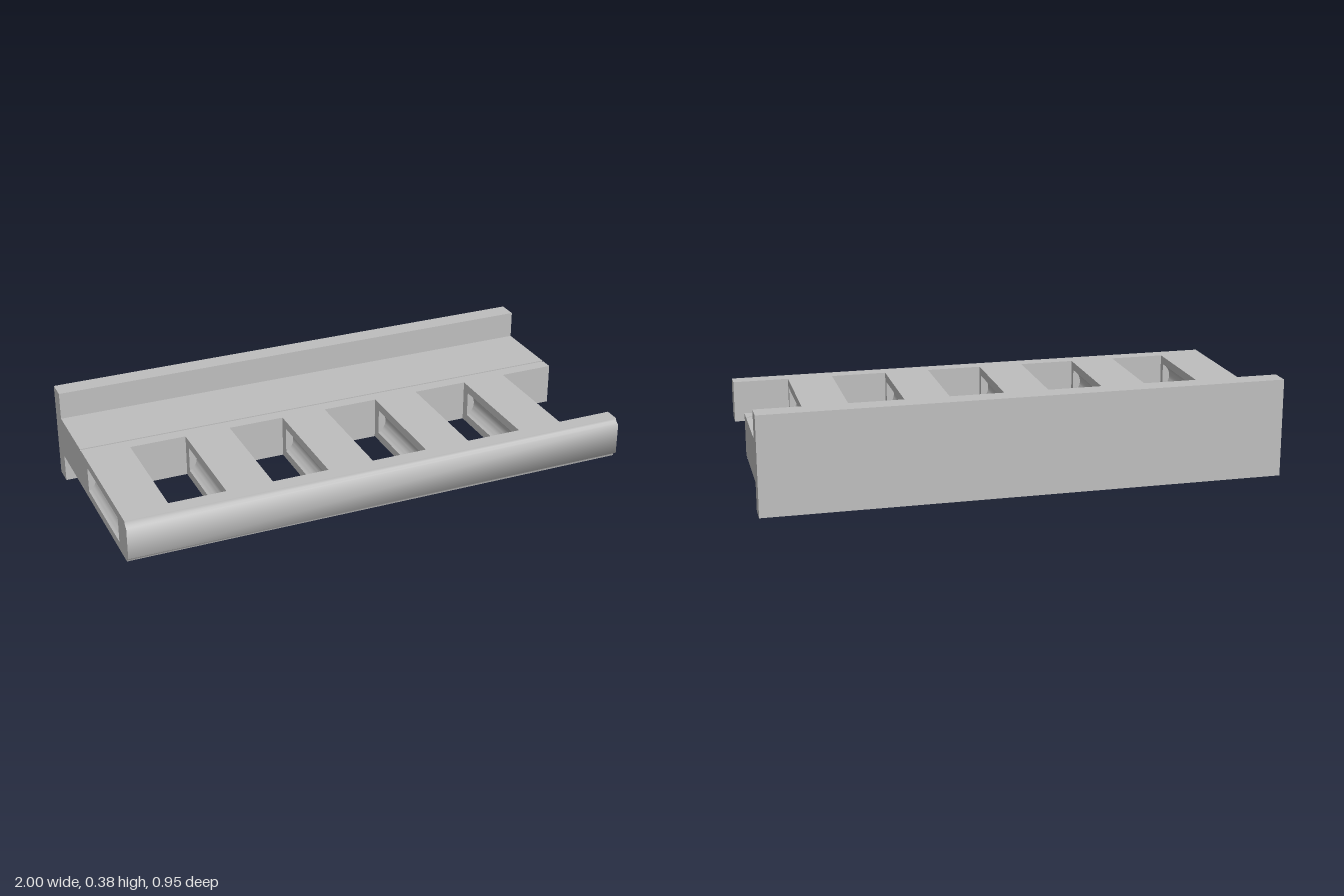
import * as THREE from 'three';
import { toCreasedNormals } from 'three/addons/utils/BufferGeometryUtils.js';

export function createModel() {
  const group = new THREE.Group();
  const grey = new THREE.MeshStandardMaterial({ color: 0xbebebe });
  grey.name = 'plain grey';

  const LOW = 0.11, HIGH = 0.275, MID = (LOW + HIGH) / 2;
  const add = (name, geometry, parent = group) => {
    const mesh = new THREE.Mesh(geometry, grey);
    mesh.name = name;
    parent.add(mesh);
    return mesh;
  };
  // Box given by its limits on each axis
  const box = (name, x0, x1, y0, y1, z0, z1, parent) =>
    add(name, new THREE.BoxGeometry(x1 - x0, y1 - y0, z1 - z0), parent)
      .position.set((x0 + x1) / 2, (y0 + y1) / 2, (z0 + z1) / 2);
  const extrude = (points, depth) => new THREE.ExtrudeGeometry(
    new THREE.Shape(points.map(([x, y]) => new THREE.Vector2(x, y))),
    { depth, bevelEnabled: false });

  // Rear plate and the beam in front of it
  box('rearPlate', -1, 1, 0, 0.383, -0.476, -0.398);
  box('beam', -1, 1, LOW, HIGH, -0.398, -0.122);
  box('seam', -1, 1, LOW + 0.006, HIGH - 0.006, -0.122, -0.115);
  box('combSpine', -1, 1, LOW, HIGH, -0.115, -0.064);

  // Front rail with small hollow-cut corners
  const corner = [[0.476, 0.255], [0.467, 0.259], [0.459, 0.266], [0.457, HIGH]];
  const lower = corner.map(([z, y]) => [z, 2 * MID - y]).reverse();
  const profile = [[0.397, LOW], ...lower, ...corner, [0.397, HIGH]]
    .map(([z, y]) => [-z, y]);
  const rail = extrude(profile, 2);
  rail.rotateY(Math.PI / 2).translate(-1, 0, 0);
  add('frontRail', toCreasedNormals(rail, 1.2));

  // Web section with a shallow round hollow on both sides
  const HALF = 0.09, CHORD = 0.05, DEPTH = 0.03;
  const radius = (CHORD * CHORD + DEPTH * DEPTH) / (2 * DEPTH);
  const sweep = Math.asin(CHORD / radius);
  const side = [[HALF, LOW]];
  for (let i = 0; i <= 16; i++) {
    const a = sweep * (i / 8 - 1);
    side.push([HALF - DEPTH + radius * (1 - Math.cos(a)), MID + radius * Math.sin(a)]);
  }
  side.push([HALF, HIGH]);
  const section = [...side, ...side.map(([x, y]) => [-x, y]).reverse()];
  const hollow = toCreasedNormals(extrude(section, 0.398).translate(0, 0, -0.028), 0.5);

  // Five webs joining spine and rail
  for (let i = 0; i < 5; i++) {
    const web = new THREE.Group();
    web.name = 'web' + (i + 1);
    web.position.x = -0.91 + i * 0.4;
    add('hollowedMiddle', hollow, web);
    box('webRearEnd', -HALF, HALF, LOW, HIGH, -0.064, -0.028, web);
    box('webFrontEnd', -HALF, HALF, LOW, HIGH, 0.37, 0.397, web);
    group.add(web);
  }
  return group;
}
